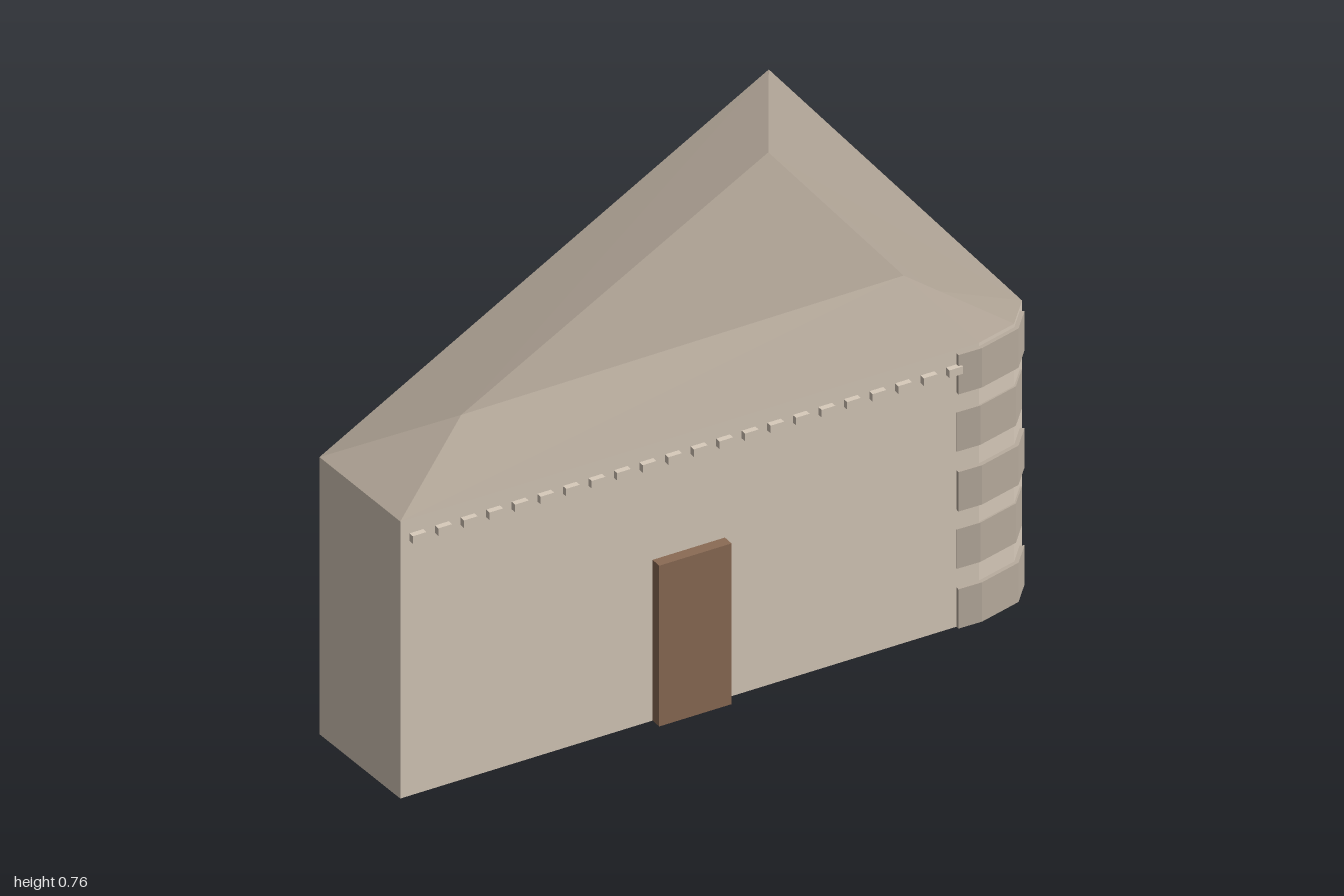
import * as THREE from 'three';

const mat = (color, extra = {}) =>
  new THREE.MeshStandardMaterial({ color, flatShading: true, ...extra });

// Footprint corners as [x, z]
const A = [-0.5, -1], B = [0.455, -0.475], C = [0.49, -0.385];
const D = [0.466, -0.28], E = [-0.215, 0.99], F = [-0.5, 0.855];
const EAVE = 0.698, RIDGE = 0.763;

// Upright prism over a plan outline
function prism(name, outline, y, height, material) {
  const shape = new THREE.Shape(outline.map(([x, z]) => new THREE.Vector2(x, -z)));
  const geo = new THREE.ExtrudeGeometry(shape, { depth: height, bevelEnabled: false });
  geo.rotateX(-Math.PI / 2);
  geo.translate(0, y, 0);
  const mesh = new THREE.Mesh(geo, material);
  mesh.name = name;
  return mesh;
}

// Box fixed to the wall from p to q; s is the distance along it, out the projection
function onWall(name, p, q, s, y, [w, h, out], material) {
  const len = Math.hypot(q[0] - p[0], q[1] - p[1]);
  const dx = (q[0] - p[0]) / len, dz = (q[1] - p[1]) / len;
  const depth = out + 0.02;               // the back is sunk into the wall
  const k = out - depth / 2;
  const mesh = new THREE.Mesh(new THREE.BoxGeometry(w, h, depth), material);
  // outward normal of a wall followed from front to back on the +x side
  mesh.position.set(p[0] + dx * s - dz * k, y + h / 2, p[1] + dz * s + dx * k);
  mesh.rotation.y = Math.atan2(-dz, dx);
  mesh.name = name;
  return mesh;
}

export function createModel() {
  const group = new THREE.Group();
  const wallMat = mat(0xd8cbbb), roofMat = mat(0xaea294, { side: THREE.DoubleSide });
  const stoneMat = mat(0xb8ac9e), doorMat = mat(0x8b6b55);

  group.add(prism('walls', [A, F, E, D, C, B], 0, EAVE, wallMat));

  // Low hipped roof with a flat top and a small dip at the blunt corner
  const at = ([x, z], y = EAVE) => [x, y, z];
  const a = at(A), b = at(B), c = at(C), d = at(D), e = at(E), f = at(F);
  const back = at([-0.27, -0.62], RIDGE), side = at([0.24, -0.34], RIDGE);
  const front = at([-0.275, 0.64], RIDGE), dip = at([0.3, -0.355], 0.737);
  const faces = [
    [a, f, front], [a, front, back],      // long side
    [f, e, front],                        // short end
    [e, d, side], [e, side, front],       // front slope
    [d, c, side], [c, dip, side], [c, b, dip],
    [b, a, back], [b, back, dip], [dip, back, side],
    [back, front, side],                  // flat top
  ];
  const geo = new THREE.BufferGeometry();
  geo.setAttribute('position', new THREE.Float32BufferAttribute(faces.flat(2), 3));
  geo.computeVertexNormals();
  const roof = new THREE.Mesh(geo, roofMat);
  roof.name = 'roof';
  group.add(roof);

  // Doors
  group.add(onWall('frontDoor', E, D, 0.718, 0, [0.18, 0.405, 0.028], doorMat));
  group.add(onWall('backDoor', B, A, 0.57, 0, [0.18, 0.405, 0.028], doorMat));

  // Rows of small blocks below the eaves
  const dentils = new THREE.Group();
  dentils.name = 'dentils';
  const row = (p, q, count, start, step) => {
    for (let i = 0; i < count; i++)
      dentils.add(onWall('dentil', p, q, start + i * step, 0.642, [0.034, 0.019, 0.014], wallMat));
  };
  row(E, D, 22, 0.04, 0.0636);
  row(B, A, 15, 0.11, 0.0645);
  group.add(dentils);

  // Alternating courses of stones round the blunt corner
  const quoins = new THREE.Group();
  quoins.name = 'cornerStones';
  for (let i = 0; i < 5; i++) {
    const t = i % 2 ? 0.004 : 0.01;
    const outline = [
      [0.3, -0.33],
      [0.438 + 0.88 * t, -0.23 + 0.47 * t],
      [D[0] + 0.94 * t, D[1] + 0.36 * t],
      [C[0] + 1.04 * t, C[1] - 0.07 * t],
      [0.465 + 0.93 * t, -0.45 - 0.36 * t],
    ];
    quoins.add(prism('cornerStone', outline, i * 0.1475, 0.099, stoneMat));
  }
  group.add(quoins);

  return group;
}
